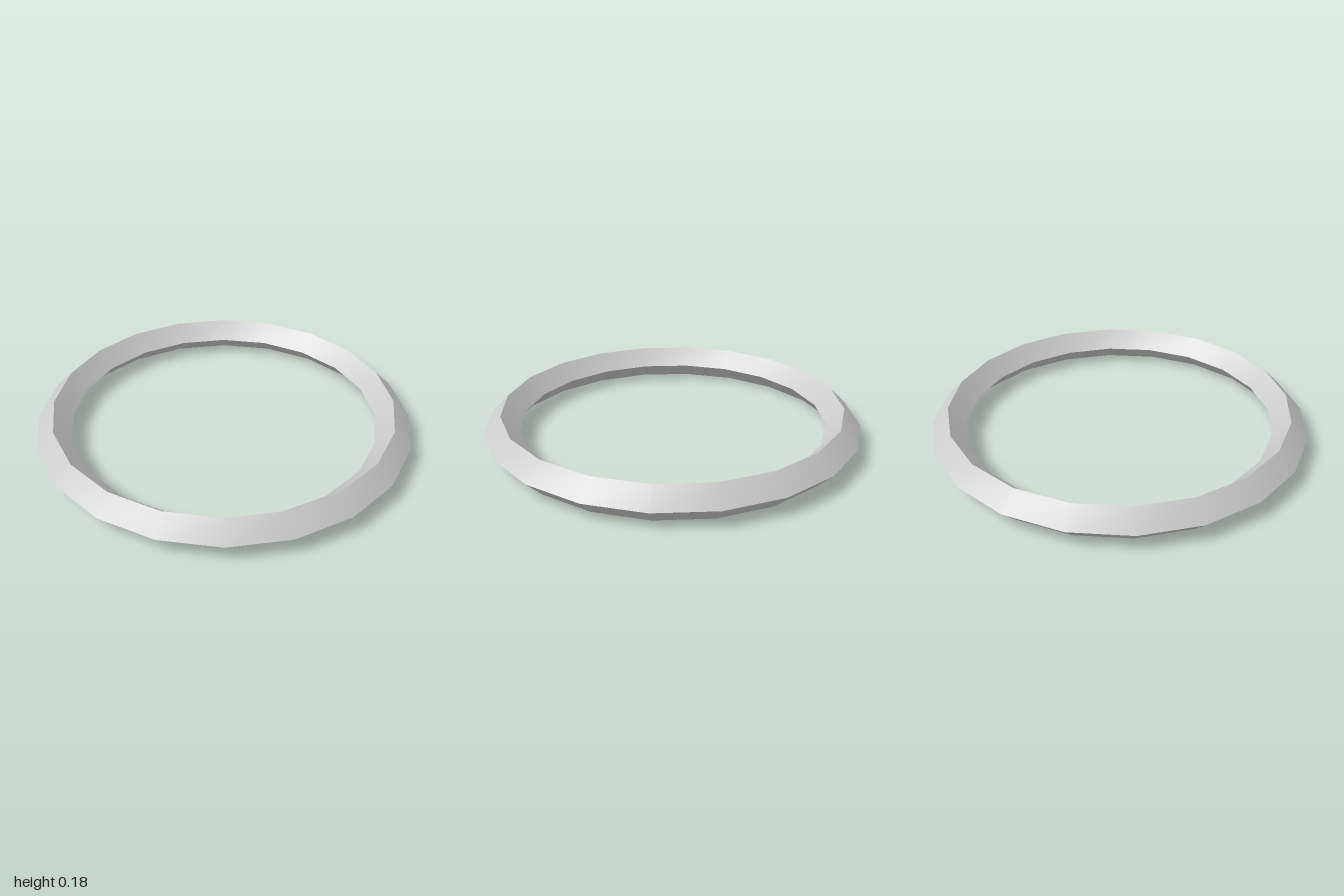
import * as THREE from 'three';
import { toCreasedNormals } from 'three/addons/utils/BufferGeometryUtils.js';

export function createModel() {
  const group = new THREE.Group();
  const tube = 0.091;

  // Twenty-sided ring with a diamond cross-section, lying flat on the ground
  const geometry = new THREE.TorusGeometry(1 - tube, tube, 4, 20);
  geometry.rotateX(-Math.PI / 2);
  geometry.translate(0, tube, 0);

  // Smooth around the ring, sharp along its four ridges
  const ring = new THREE.Mesh(
    toCreasedNormals(geometry, Math.PI / 6),
    new THREE.MeshStandardMaterial({ color: 0xcccccc })
  );
  ring.name = 'ring';
  group.add(ring);
  return group;
}
